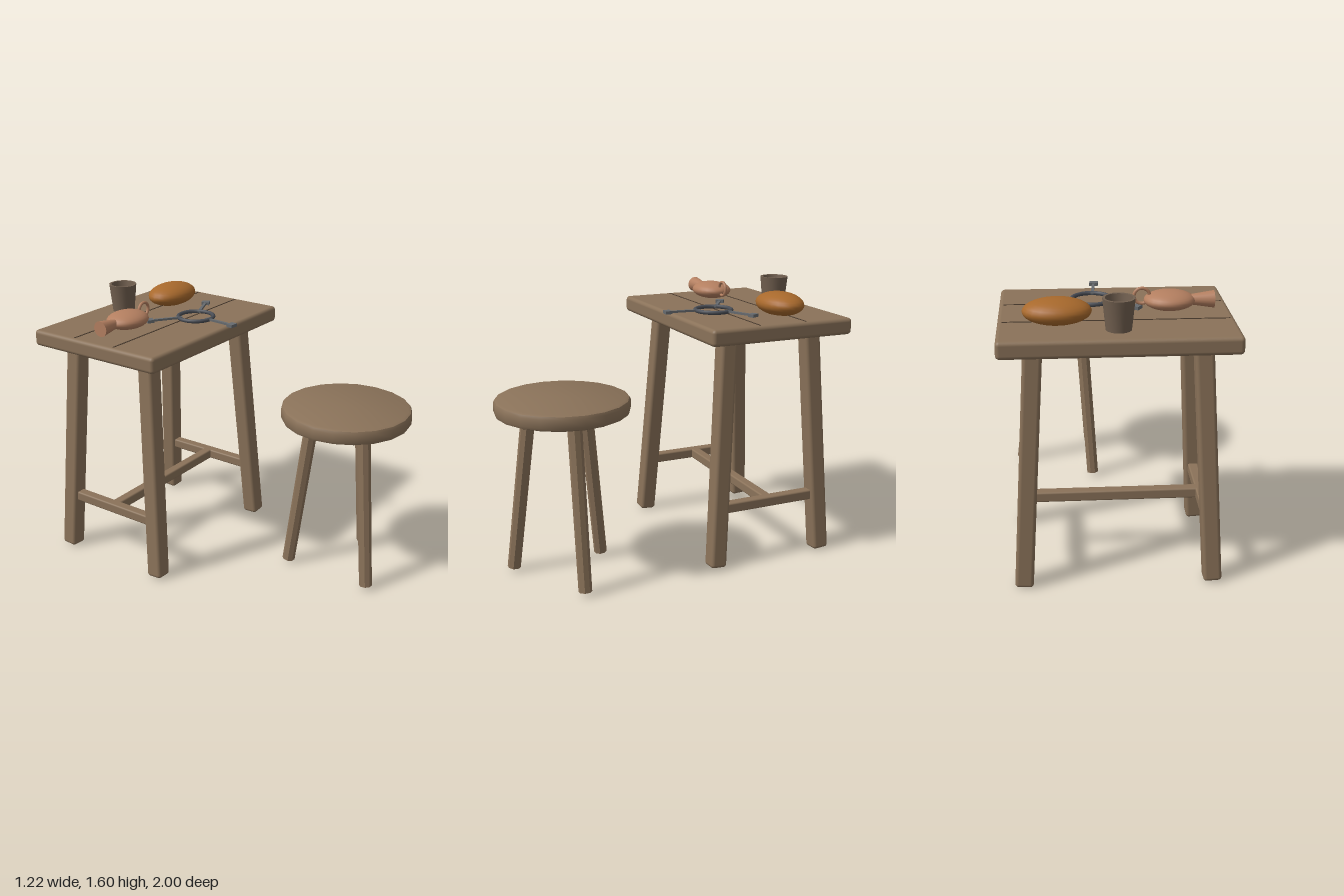
import * as THREE from 'three';
import { toCreasedNormals } from 'three/addons/utils/BufferGeometryUtils.js';
import { RoundedBoxGeometry } from 'three/addons/geometries/RoundedBoxGeometry.js';

const mat = (name, color) => {
  const m = new THREE.MeshStandardMaterial({ color });
  m.name = name;
  return m;
};

export function createModel() {
  const root = new THREE.Group();
  root.name = 'tableAndStool';
  const wood = mat('wood', 0x8a7259);
  const groove = mat('darkGroove', 0x4a3b2e);
  const clay = mat('cupBrown', 0x726050);
  const crust = mat('breadCrust', 0xa8692c);
  const copper = mat('flaskTan', 0xb47f60);
  const iron = mat('darkIron', 0x4a4e56);
  const steel = mat('greyIron', 0x666a6e);

  const group = (name, parent = root) => {
    const g = new THREE.Group();
    g.name = name;
    parent.add(g);
    return g;
  };
  const add = (parent, name, geo, material, x = 0, y = 0, z = 0) => {
    const m = new THREE.Mesh(geo, material);
    m.name = name;
    m.position.set(x, y, z);
    parent.add(m);
    return m;
  };
  // Place a y-long mesh so that it runs from point a to point b
  const between = (mesh, a, b) => {
    mesh.position.copy(a).add(b).multiplyScalar(0.5);
    mesh.quaternion.setFromUnitVectors(new THREE.Vector3(0, 1, 0), b.clone().sub(a).normalize());
  };
  const lathe = (pts, sides, crease) => toCreasedNormals(
    new THREE.LatheGeometry(pts.map(([r, y]) => new THREE.Vector2(r, y)), sides), crease);

  // Table
  const TZ = -0.555;
  const TOP = 1.44;
  const table = group('table');
  add(table, 'tableTop', new RoundedBoxGeometry(1.22, 0.095, 0.89, 3, 0.022), wood, 0, TOP - 0.0475, TZ);
  for (const z of [-0.7, -0.41]) {
    add(table, 'plankGroove', new THREE.BoxGeometry(1.17, 0.004, 0.009), groove, 0, TOP, z);
  }
  for (const sx of [-1, 1]) {
    for (const sz of [-1, 1]) {
      const a = new THREE.Vector3(sx * 0.512, 0.012, TZ + sz * 0.35);
      const b = new THREE.Vector3(sx * 0.43, 1.38, TZ + sz * 0.267);
      const leg = add(table, 'tableLeg', new RoundedBoxGeometry(0.1, a.distanceTo(b), 0.1, 3, 0.02), wood);
      between(leg, a, b);
    }
    add(table, 'sideStretcher', new RoundedBoxGeometry(0.06, 0.06, 0.62, 2, 0.01), wood, sx * 0.488, 0.36, TZ);
  }
  add(table, 'middleStretcher', new RoundedBoxGeometry(0.98, 0.06, 0.06, 2, 0.01), wood, 0, 0.36, TZ);

  // Stool with a bevelled round seat and three splayed legs
  const stool = group('stool');
  stool.position.set(0.235, 0, 0.62);
  add(stool, 'stoolSeat', lathe([
    [0, 0.973], [0.355, 0.973], [0.37, 0.98], [0.377, 0.995],
    [0.377, 1.041], [0.37, 1.056], [0.355, 1.063], [0, 1.063],
  ], 20, 0.6), wood);
  for (let i = 0; i < 3; i++) {
    const t = i * Math.PI * 2 / 3;
    const at = (r, y) => new THREE.Vector3(r * Math.cos(t), y, r * Math.sin(t));
    const a = at(0.31, 0.03);
    const b = at(0.188, 1.0);
    const geo = new THREE.CylinderGeometry(0.041, 0.038, a.distanceTo(b), 8);
    geo.rotateY(Math.PI / 8);
    between(add(stool, 'stoolLeg', toCreasedNormals(geo, 0.5), wood), a, b);
  }

  // Cup, hollow
  add(root, 'cup', lathe([
    [0, 0], [0.066, 0], [0.083, 0.165], [0.07, 0.165], [0.052, 0.025], [0, 0.02],
  ], 20, 0.6), clay, 0, TOP, -0.84);

  // Bread loaf
  const bread = add(root, 'breadLoaf', new THREE.SphereGeometry(1, 24, 16), crust, 0.305, 1.497, -0.7);
  bread.scale.set(0.178, 0.068, 0.125);

  // Flask lying on its side
  const flask = group('flask');
  flask.position.set(-0.285, 1.5, -0.56);
  const body = add(flask, 'flaskBody', new THREE.SphereGeometry(1, 24, 16), copper);
  body.scale.set(0.135, 0.051, 0.114);
  const neck = add(flask, 'flaskNeck', new THREE.CylinderGeometry(0.046, 0.028, 0.12, 16), copper, -0.175, 0, 0);
  neck.rotation.z = Math.PI / 2;
  add(flask, 'flaskRing', new THREE.TorusGeometry(0.041, 0.009, 8, 20), copper, 0.145, 0.024, 0);

  // Iron trivet: a ring with three arms that end in square pads
  const trivet = group('trivet');
  trivet.position.set(0.114, 1.452, -0.367);
  const ring = add(trivet, 'trivetRing', new THREE.TorusGeometry(0.106, 0.012, 8, 24), iron);
  ring.rotation.x = Math.PI / 2;
  for (let i = 0; i < 3; i++) {
    const arm = group('trivetArm', trivet);
    arm.rotation.y = 0.43 + i * Math.PI * 2 / 3;
    add(arm, 'armBar', new THREE.BoxGeometry(0.19, 0.012, 0.016), steel, 0.182, 0.002, 0);
    add(arm, 'armPad', new THREE.BoxGeometry(0.04, 0.018, 0.048), steel, 0.285, 0.002, 0);
  }
  return root;
}
